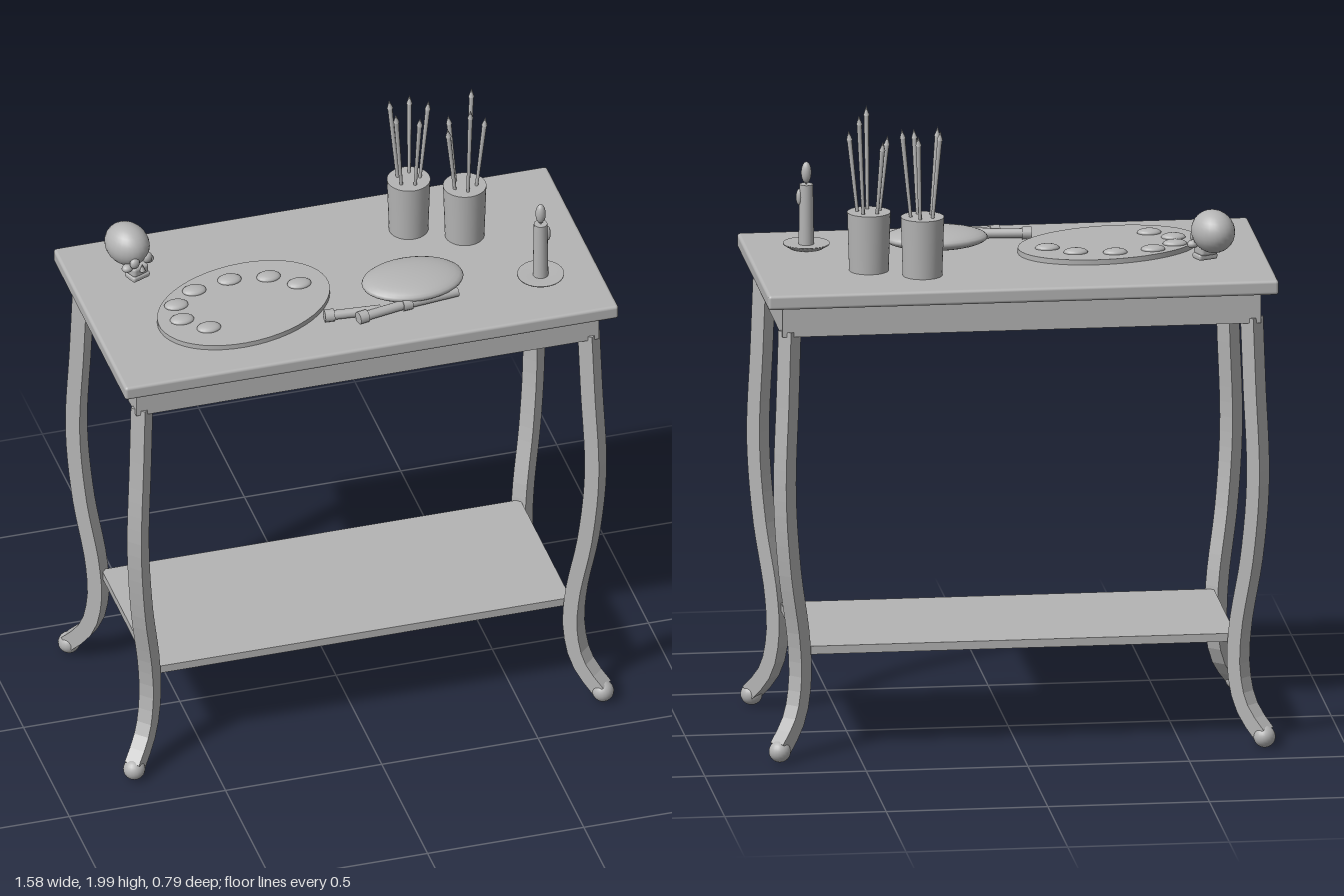
import * as THREE from 'three';
import { RoundedBoxGeometry } from 'three/addons/geometries/RoundedBoxGeometry.js';

const clay = new THREE.MeshStandardMaterial({ color: 0xb4b4b4 });
clay.name = 'grey clay';

const TOP = 1.49; // height of the table surface

function add(parent, name, geometry, x = 0, y = 0, z = 0) {
  const mesh = new THREE.Mesh(geometry, clay);
  mesh.name = name;
  mesh.position.set(x, y, z);
  parent.add(mesh);
  return mesh;
}

function group(parent, name, x = 0, y = 0, z = 0) {
  const g = new THREE.Group();
  g.name = name;
  g.position.set(x, y, z);
  parent.add(g);
  return g;
}

const ellipsoid = (rx, ry, rz, w = 24, h = 16) => new THREE.SphereGeometry(1, w, h).scale(rx, ry, rz);
const cylinder = (top, bottom, height, sides = 32) => new THREE.CylinderGeometry(top, bottom, height, sides);

// Square bar swept along an S curve, lying in the diagonal plane of its corner
function legGeometry() {
  const profile = [[0.715, 1.36], [0.722, 1.15], [0.732, 0.85], [0.715, 0.6], [0.684, 0.38],
    [0.678, 0.25], [0.694, 0.14], [0.72, 0.085], [0.748, 0.045]];
  const path = new THREE.CatmullRomCurve3(
    profile.map(([x, y]) => new THREE.Vector3((x - 0.7) * Math.SQRT2, y, 0)));
  const s = 0.025;
  const square = new THREE.Shape([[-s, -s], [s, -s], [s, s], [-s, s]].map(p => new THREE.Vector2(...p)));
  return new THREE.ExtrudeGeometry(square, { steps: 28, extrudePath: path });
}

function addTable(root) {
  const table = group(root, 'table');
  add(table, 'tabletop', new RoundedBoxGeometry(1.58, 0.046, 0.79, 3, 0.01), 0, 1.467, 0);
  add(table, 'apron', new THREE.BoxGeometry(1.48, 0.1, 0.69), 0, 1.395, 0);
  add(table, 'shelf', new THREE.BoxGeometry(1.34, 0.026, 0.55), 0, 0.332, 0);
  const leg = legGeometry();
  const foot = new THREE.SphereGeometry(0.034, 20, 14);
  for (const sx of [-1, 1]) for (const sz of [-1, 1]) {
    const mesh = add(table, 'leg', leg, sx * 0.7, 0, sz * 0.305);
    mesh.rotation.y = -Math.atan2(sz, sx);
    add(table, 'ballFoot', foot, sx * 0.75, 0.036, sz * 0.356);
  }
}

// Cup with brushes leaning outward in a ring
function addBrushCup(root, x, z, start, heights) {
  const cup = group(root, 'brushCup', x, TOP, z);
  add(cup, 'cup', cylinder(0.067, 0.061, 0.185), 0, 0.0925, 0);
  heights.forEach((tip, i) => {
    const a = start + i * Math.PI * 2 / heights.length;
    const length = tip - TOP - 0.16;
    const brush = group(cup, 'brush', Math.cos(a) * 0.034, 0.16, Math.sin(a) * 0.034);
    const lean = new THREE.Vector3(Math.cos(a) * 0.03, length, Math.sin(a) * 0.03).normalize();
    brush.quaternion.setFromUnitVectors(new THREE.Vector3(0, 1, 0), lean);
    add(brush, 'handle', cylinder(0.0075, 0.005, length - 0.04, 8), 0, (length - 0.04) / 2, 0);
    add(brush, 'ferrule', cylinder(0.008, 0.0075, 0.02, 8), 0, length - 0.035, 0);
    add(brush, 'bristles', new THREE.ConeGeometry(0.0095, 0.03, 8), 0, length - 0.014, 0);
  });
}

function addSkull(root) {
  const skull = group(root, 'skull', -0.61, TOP, -0.2);
  skull.rotation.y = 0.4;
  add(skull, 'cranium', ellipsoid(0.064, 0.067, 0.078), 0, 0.113, 0);
  for (const s of [-1, 1]) {
    add(skull, 'eyeSocket', ellipsoid(0.017, 0.018, 0.013, 14, 10), s * 0.025, 0.085, 0.068);
    add(skull, 'cheekbone', ellipsoid(0.018, 0.013, 0.016, 14, 10), s * 0.042, 0.066, 0.052);
  }
  add(skull, 'nose', new THREE.ConeGeometry(0.01, 0.024, 8), 0, 0.062, 0.074);
  add(skull, 'upperJaw', new RoundedBoxGeometry(0.06, 0.034, 0.055, 2, 0.01), 0, 0.047, 0.045);
  add(skull, 'lowerJaw', new RoundedBoxGeometry(0.066, 0.02, 0.05, 2, 0.008), 0, 0.025, 0.05);
}

function addPalette(root) {
  const palette = group(root, 'palette');
  const board = add(palette, 'paletteBoard', cylinder(1, 1, 0.016, 48).scale(0.29, 1, 0.199), -0.318, TOP + 0.008, 0.075);
  board.rotation.y = 0.3;
  const dabs = [[-0.458, 0.175], [-0.525, 0.11], [-0.52, 0.03], [-0.445, -0.03],
    [-0.325, -0.055], [-0.205, -0.037], [-0.125, 0.025]];
  const dab = ellipsoid(0.038, 0.013, 0.028, 20, 10);
  for (const [x, z] of dabs) add(palette, 'paintDab', dab, x, TOP + 0.018, z);
}

// Small paint tubes lying on the table: x, z, length, turn
function addPaintTubes(root) {
  for (const [x, z, length, turn] of [[0.0, 0.222, 0.15, -0.08], [0.1, 0.234, 0.16, 0.2], [0.25, 0.212, 0.16, 0.12]]) {
    const tube = group(root, 'paintTube', x, TOP + 0.017, z);
    tube.rotation.y = turn;
    add(tube, 'tubeBody', cylinder(0.015, 0.015, length, 16).rotateZ(Math.PI / 2));
    add(tube, 'tubeCap', cylinder(0.02, 0.02, 0.03, 12).rotateZ(Math.PI / 2), -length / 2 - 0.01);
  }
}

function addCandle(root) {
  const candle = group(root, 'candle', 0.602, TOP, 0.18);
  const dish = [[0, 0], [0.05, 0], [0.072, 0.014], [0.072, 0.018], [0.03, 0.014], [0, 0.014]];
  add(candle, 'candleDish', new THREE.LatheGeometry(dish.map(p => new THREE.Vector2(...p)), 32));
  add(candle, 'candleStick', cylinder(0.021, 0.024, 0.19, 20), 0, 0.108, 0);
  add(candle, 'wick', cylinder(0.003, 0.003, 0.02, 6), 0, 0.21, 0);
  add(candle, 'flame', ellipsoid(0.016, 0.034, 0.016, 14, 12), 0, 0.24, 0);
  add(candle, 'waxDrip', ellipsoid(0.01, 0.026, 0.012, 12, 10), 0.022, 0.163, 0);
}

export function createModel() {
  const root = new THREE.Group();
  root.name = 'paintersTable';
  addTable(root);
  addSkull(root);
  addPalette(root);
  add(root, 'cushion', ellipsoid(0.16, 0.033, 0.111, 32, 16), 0.208, TOP + 0.036, 0.126);
  addPaintTubes(root);
  addBrushCup(root, 0.288, -0.19, 0.01, [1.955, 1.94, 1.95, 1.955, 1.945]);
  addBrushCup(root, 0.444, -0.11, 0.31, [1.93, 1.995, 1.91, 1.91, 1.995]);
  addCandle(root);
  return root;
}
